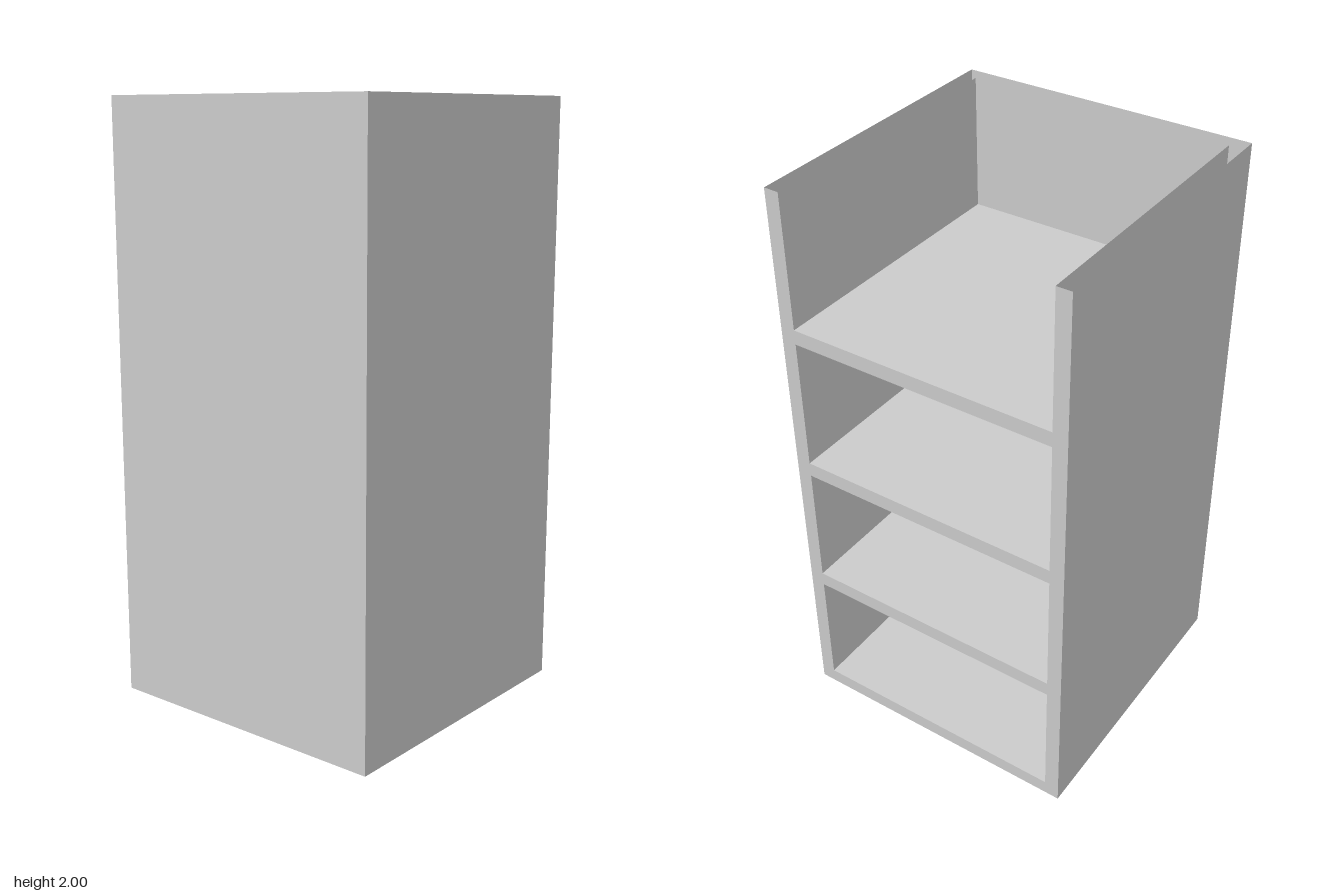
import * as THREE from 'three';

const U = 2 / 78;            // all sizes are multiples of this unit
const H = 78 * U;            // height
const R = 20 * U;            // half width and half depth
const T = 2 * U;             // panel thickness
const IN = R - T;            // inner half width
// floor and ceiling height of each compartment; the last one is open on top
const BAYS = [[2, 19], [21, 38], [40, 58], [60, 78]].map(b => b.map(v => v * U));

export function createModel() {
  const group = new THREE.Group();
  group.name = 'openShelfUnit';
  const material = new THREE.MeshStandardMaterial({ color: 0xcccccc, side: THREE.DoubleSide });

  const add = (name, geometry, x, y, z, rx = 0, ry = 0) => {
    const mesh = new THREE.Mesh(geometry, material);
    mesh.name = name;
    mesh.position.set(x, y, z);
    mesh.rotation.set(rx, ry, 0);
    group.add(mesh);
  };

  // Outer skin: front and two sides, open above and below
  add('frontPanel', new THREE.PlaneGeometry(2 * R, H), 0, H / 2, R);
  for (const s of [1, -1]) {
    add(s > 0 ? 'leftOuterPanel' : 'rightOuterPanel',
      new THREE.PlaneGeometry(2 * R, H), s * R, H / 2, 0, 0, s * Math.PI / 2);
  }

  // Back frame: rim around the compartments, notched at the open top one
  const notch = BAYS[3][0];
  const frame = new THREE.Shape([
    [-R, 0], [R, 0], [R, H], [IN, H], [IN, notch], [-IN, notch], [-IN, H], [-R, H],
  ].map(p => new THREE.Vector2(...p)));
  for (const [y0, y1] of BAYS.slice(0, 3)) {
    frame.holes.push(new THREE.Path(
      [[-IN, y0], [-IN, y1], [IN, y1], [IN, y0]].map(p => new THREE.Vector2(...p))));
  }
  add('backFrame', new THREE.ShapeGeometry(frame), 0, 0, -R, 0, Math.PI);

  // Compartments: a shelf sheet and two lining walls, stopping short of the front
  const depth = 2 * R - T;
  BAYS.forEach(([y0, y1], i) => {
    add(`shelf${i + 1}`, new THREE.PlaneGeometry(2 * IN, depth), 0, y0, -T / 2, -Math.PI / 2);
    for (const s of [1, -1]) {
      add(`${s > 0 ? 'left' : 'right'}Lining${i + 1}`,
        new THREE.PlaneGeometry(depth, y1 - y0), s * IN, (y0 + y1) / 2, -T / 2, 0, -s * Math.PI / 2);
    }
  });

  return group;
}
